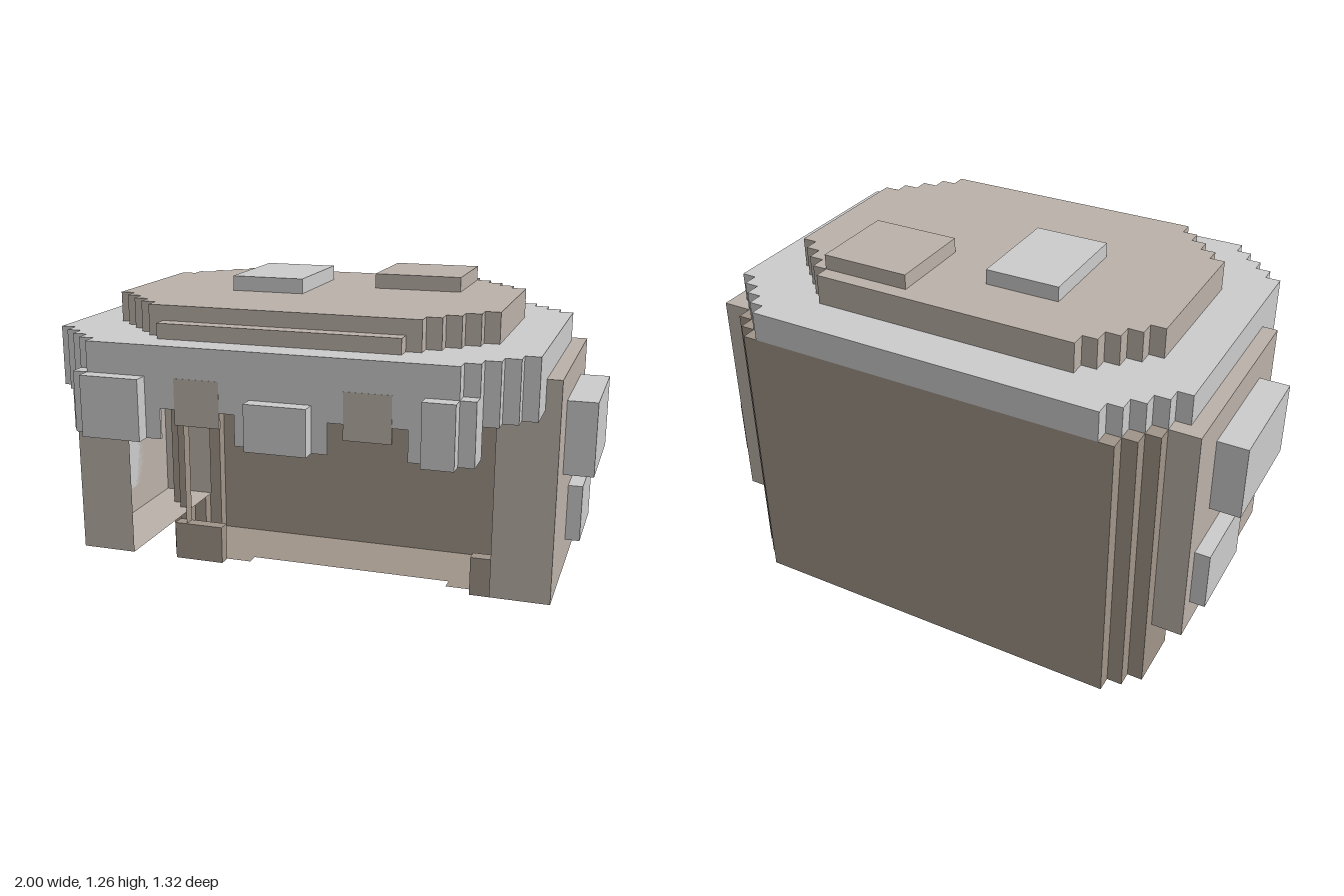
import * as THREE from 'three';

const U = 1 / 19; // one block

const material = (color) =>
  new THREE.MeshStandardMaterial({ color, flatShading: true, side: THREE.DoubleSide });

export function createModel() {
  const group = new THREE.Group();
  const grey = material(0xcccccc);
  const tan = material(0xbbb1a9);
  const brown = material(0xa09488);

  const add = (name, geometry, mat) => {
    geometry.scale(U, U, U);
    const mesh = new THREE.Mesh(geometry, mat);
    mesh.name = name;
    group.add(mesh);
  };

  // Box given by its limits in blocks
  const box = (name, mat, [x0, x1], [y0, y1], [z0, z1]) => {
    const g = new THREE.BoxGeometry(x1 - x0, y1 - y0, z1 - z0);
    g.translate((x0 + x1) / 2, (y0 + y1) / 2, (z0 + z1) / 2);
    add(name, g, mat);
  };

  // Rows of [half width, end z] become a stepped half outline, back to front
  const steps = (z, rows) => rows.flatMap(([w, end]) => {
    const pair = [[w, z], [w, end]];
    z = end;
    return pair;
  });

  // Half outline joined to its mirror image at the first point
  const mirror = (half) => [...half.map(([x, z]) => [-x, z]).reverse(), ...half];

  // Upright thin wall along a path of [x, z] points
  const wall = (name, mat, path, y0, y1) => {
    const pos = [];
    for (let i = 1; i < path.length; i++) {
      const [[ax, az], [bx, bz]] = [path[i - 1], path[i]];
      pos.push(ax, y0, az, bx, y1, bz, bx, y0, bz, ax, y0, az, ax, y1, az, bx, y1, bz);
    }
    const g = new THREE.BufferGeometry();
    g.setAttribute('position', new THREE.Float32BufferAttribute(pos, 3));
    g.computeVertexNormals();
    add(name, g, mat);
  };

  // Level thin plate within an outline, with an optional hole
  const plate = (name, mat, outline, y, hole) => {
    const flat = (points) => points.map(([x, z]) => new THREE.Vector2(x, -z));
    const shape = new THREE.Shape(flat(outline));
    if (hole) shape.holes.push(new THREE.Path(flat(hole)));
    add(name, new THREE.ShapeGeometry(shape).rotateX(-Math.PI / 2).translate(0, y, 0), mat);
  };

  const close = (path) => [...path, path[0]];

  // Hollow back: stepped wall, floor with a notched front edge
  const back = [[13, -11.5], [14, -10.5], [15, -6.5]];
  wall('backWall', brown, mirror(steps(-12.5, [...back, [14, -5.5], [13, -4.5]])), 0, 19);
  plate('floor', brown, mirror([
    ...steps(-12.5, [...back, [14, -4.5]]), [10, -4.5], [10, -5.5], [8, -5.5], [8, -6.5],
  ]), 0);

  // Rim with its open crown hole, and the skirt under its front
  const front = [[16, 7.5], [15, 8.5], [14, 9.5], [13, 10.5], [12, 11.5]];
  const rim = mirror(steps(-12.5, [[12, -11.5], [13, -10.5], [14, -9.5], [15, -8.5], ...front]));
  const crown = mirror(steps(-9.5, [
    [9, -8.5], [10, -7.5], [11, -6.5], [12, -5.5], [13, 4.5],
    [12, 5.5], [11, 6.5], [10, 7.5], [9, 8.5],
  ]));
  wall('rimEdge', grey, close(rim), 19, 21);
  plate('rimTop', grey, rim, 21, crown);
  wall('frontSkirt', grey, mirror(steps(4.5, front).reverse()), 17, 19);

  // Crown with its front ledge and two raised patches
  wall('crownEdge', tan, close(crown), 21, 23);
  plate('crownTop', tan, crown, 23);
  box('crownLedge', tan, [-8, 8], [21, 22], [8.5, 9.5]);
  box('crownPatchGrey', grey, [-6, -1], [23, 24], [-5.5, 1.5]);
  box('crownPatchTan', tan, [3, 9], [23, 24], [-8.5, -2.5]);

  // Hollow side panels, open inwards, with their patches and corner pieces
  for (const s of [1, -1]) {
    const side = s > 0 ? 'left' : 'right';
    const span = (a, b) => (s > 0 ? [a, b] : [-b, -a]);
    const panel = [[13, 4.5], [17, 4.5], [17, -9.5], [13, -9.5]].map(([x, z]) => [s * x, z]);
    wall(side + 'SidePanel', tan, panel, 4, 19);
    plate(side + 'PanelBottom', tan, panel, 4);
    plate(side + 'PanelTop', tan, panel, 19);
    box(side + 'UpperPatch', grey, span(17, 19), [12, 17], [-6.5, 1.5]);
    box(side + 'LowerPatch', grey, span(17, 18), [6, 10], [-8.5, -2.5]);
    box(side + 'CornerBlock', brown, span(10, 14), [0, 3], [-5.5, -4.5]);
    box(side + 'FrontCorner', grey, span(12, 13), [15, 19], [9.5, 11.5]);
    box(side + 'InnerCorner', grey, span(11.8, 12), [15, 17], [8.5, 11.5]);
    // Wall tops that show beside the rim's back corners
    for (let i = 0; i < 3; i++)
      box(side + 'WallTop', brown, span(12 + i, 13 + i), [18, 19], [i - 12.5, i - 11.5]);
  }

  // Fringe hanging below the skirt, with raised patches
  for (const x of [[-12, -7], [-2, 4], [9, 12]])
    box('fringe', grey, x, [15, 17], [11.3, 11.5]);
  box('frontPatchRight', grey, [-12, -8], [15, 19], [11.5, 12.5]);
  box('frontPatchMiddle', grey, [-1, 3], [15, 18], [11.5, 12.5]);
  box('frontPatchLeft', grey, [10, 12], [15, 19], [11.5, 12.5]);

  // Tan marks in the gaps of the fringe
  for (const x of [-6, 5])
    box('frontMark', tan, [x, x + 3], [16, 19], [11.3, 11.52]);

  return group;
}
